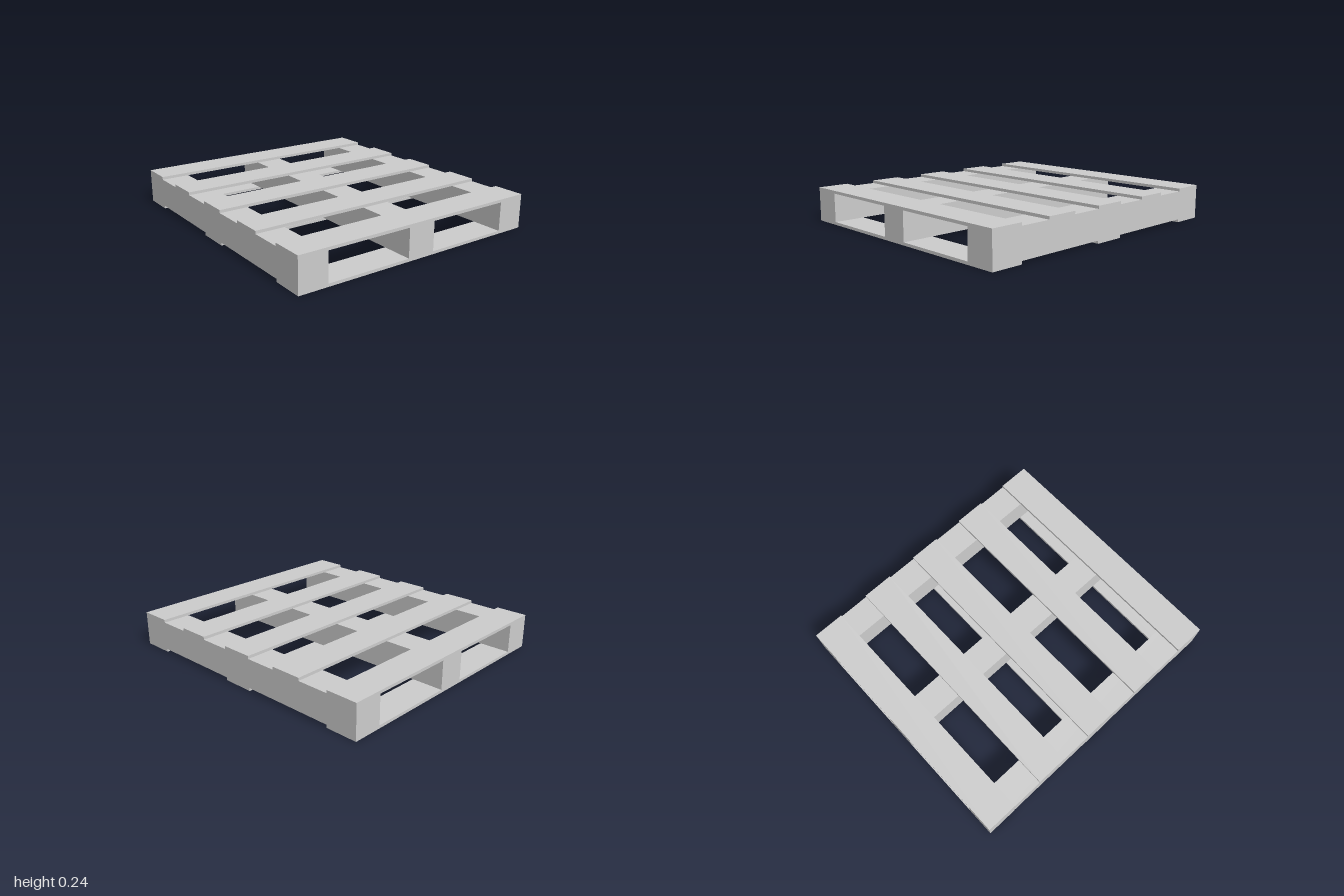
import * as THREE from 'three';

const BOARD_W = 2 / 9;   // board width, equal to the gap between top boards
const BOARD_T = 0.02;    // board thickness
const BEAM = 0.2;        // beam height and depth
const DEPTH = 1.8;

export function createModel() {
  const pallet = new THREE.Group();
  pallet.name = 'pallet';
  const material = new THREE.MeshStandardMaterial({ color: 0xcccccc, flatShading: true });

  function addBox(name, size, x, y, z) {
    const mesh = new THREE.Mesh(new THREE.BoxGeometry(...size), material);
    mesh.name = name;
    mesh.position.set(x, y, z);
    pallet.add(mesh);
  }

  // Three bottom boards, running front to back
  for (const i of [-1, 0, 1]) {
    addBox('bottomBoard', [BOARD_W, BOARD_T, DEPTH], i * 4 * BOARD_W, BOARD_T / 2, 0);
  }

  // Three beams, running side to side
  for (const i of [-1, 0, 1]) {
    addBox('beam', [2, BEAM, BEAM], 0, BOARD_T + BEAM / 2, i * (DEPTH - BEAM) / 2);
  }

  // Five top boards, running front to back
  for (let i = -2; i <= 2; i++) {
    addBox('topBoard', [BOARD_W, BOARD_T, DEPTH], i * 2 * BOARD_W, BOARD_T * 1.5 + BEAM, 0);
  }

  return pallet;
}
